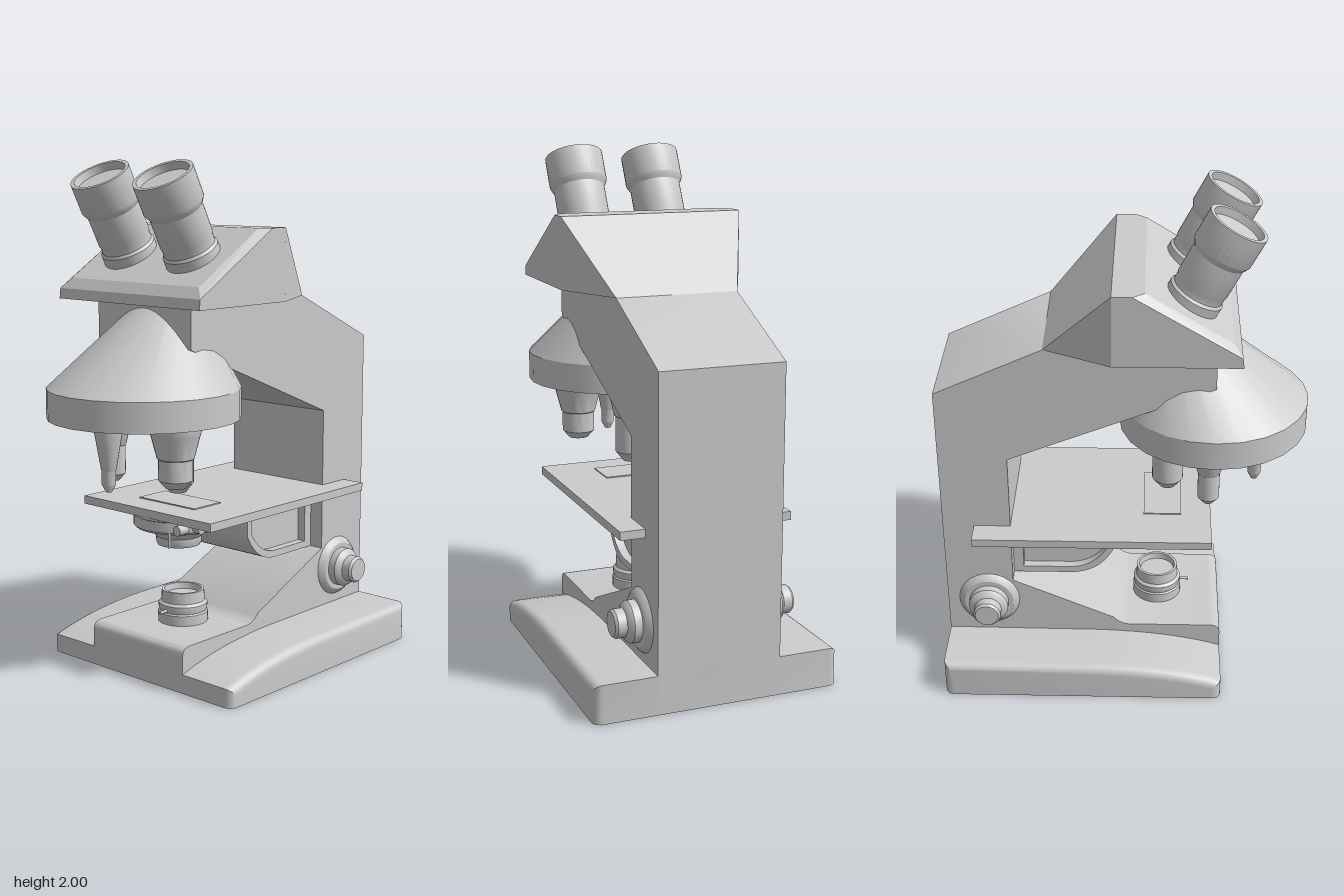
import * as THREE from 'three';
import { toCreasedNormals } from 'three/addons/utils/BufferGeometryUtils.js';
import { ConvexGeometry } from 'three/addons/geometries/ConvexGeometry.js';

const material = new THREE.MeshStandardMaterial({ color: 0xcccccc });
const openMaterial = new THREE.MeshStandardMaterial({ color: 0xcccccc, side: THREE.DoubleSide });

function add(parent, name, geometry, x = 0, y = 0, z = 0, mat = material) {
  const mesh = new THREE.Mesh(geometry, mat);
  mesh.name = name;
  mesh.position.set(x, y, z);
  parent.add(mesh);
  return mesh;
}

// Extrude a (z, y) side profile across x, centred on x = 0
function sideExtrude(shape, width, bevel = 0) {
  const g = new THREE.ExtrudeGeometry(shape, {
    depth: width - 2 * bevel, curveSegments: 12, bevelEnabled: bevel > 0,
    bevelSize: bevel, bevelThickness: bevel, bevelOffset: -bevel, bevelSegments: 5,
  });
  g.translate(0, 0, bevel - width / 2).rotateY(-Math.PI / 2);
  return g;
}

// Turned part from [radius, height] pairs, listed from bottom to top
function turned(points, segments = 32) {
  const g = new THREE.LatheGeometry(points.map(([r, y]) => new THREE.Vector2(r, y)), segments);
  return toCreasedNormals(g, 0.5);
}

function rod(radius, length, axis) {
  const g = new THREE.CylinderGeometry(radius, radius, length, 16);
  if (axis === 'x') g.rotateZ(Math.PI / 2);
  if (axis === 'z') g.rotateX(Math.PI / 2);
  return g;
}

function buildBase(root) {
  // Foot with rounded rim, sloping down to the front
  const foot = new THREE.Shape();
  foot.moveTo(-0.72, -0.1);
  foot.lineTo(0.4, -0.1);
  foot.lineTo(0.4, 0.075);
  foot.quadraticCurveTo(0.2, 0.14, -0.1, 0.148);
  foot.lineTo(-0.72, 0.152);
  const g = sideExtrude(foot, 0.98, 0.035);
  const p = g.attributes.position;
  for (let i = 0; i < p.count; i++) p.setY(i, Math.max(0, p.getY(i)));
  add(root, 'foot', toCreasedNormals(g, 0.5));

  // Raised centre strip, column and sloping arm in one profile
  const s = new THREE.Shape();
  s.moveTo(-0.72, 0);
  s.lineTo(0.4, 0);
  s.lineTo(0.4, 0.14);
  s.quadraticCurveTo(0.4, 0.18, 0.36, 0.18);
  s.lineTo(0.02, 0.18);
  s.quadraticCurveTo(-0.015, 0.185, -0.04, 0.215);
  s.lineTo(-0.45, 0.4);
  s.lineTo(-0.45, 0.985);
  s.lineTo(0.35, 1.31);
  s.lineTo(0.35, 1.47);
  s.lineTo(-0.3, 1.47);
  s.lineTo(-0.72, 1.275);
  add(root, 'columnAndArm', toCreasedNormals(sideExtrude(s, 0.49), 0.5));

  // Lamp cup on the foot
  add(root, 'lamp', turned([[0.1, 0], [0.1, 0.04], [0.094, 0.045], [0.098, 0.06], [0.098, 0.075],
    [0.087, 0.085], [0.085, 0.13], [0.074, 0.13], [0.07, 0.105], [0, 0.105]]), 0, 0.18, 0.137, openMaterial);
  add(root, 'lampLever', rod(0.006, 0.05, 'z'), 0, 0.235, 0.245);

  // Focus knobs on both sides
  for (const side of [-1, 1]) {
    const knob = add(root, side > 0 ? 'leftFocusKnob' : 'rightFocusKnob',
      turned([[0.125, 0], [0.115, 0.015], [0.1, 0.025], [0.08, 0.025], [0.08, 0.055],
        [0.073, 0.065], [0.055, 0.075], [0.055, 0.11], [0.047, 0.12], [0, 0.12]]),
      side * 0.243, 0.307, -0.55);
    knob.rotation.z = -side * Math.PI / 2;
  }
}

function buildHead(root) {
  // Wedge head with bevelled sloping front and tapered back
  const points = [];
  for (const x of [-1, 1]) {
    for (const [w, y, z] of [[0.245, 1.47, -0.3], [0.37, 1.47, -0.04], [0.37, 1.75, -0.04],
      [0.37, 1.75, 0.035], [0.335, 1.75, 0.08], [0.335, 1.55, 0.405], [0.37, 1.51, 0.435], [0.37, 1.47, 0.44]]) {
      points.push(new THREE.Vector3(x * w, y, z));
    }
  }
  add(root, 'head', new ConvexGeometry(points));

  // Pair of tilted eyepieces with recessed lenses
  const profile = [[0.108, -0.06], [0.108, 0.025], [0.1, 0.035], [0.1, 0.06], [0.103, 0.07], [0.103, 0.19],
    [0.109, 0.2], [0.117, 0.215], [0.117, 0.335], [0.102, 0.335], [0.098, 0.305], [0, 0.305]];
  for (const side of [-1, 1]) {
    const eyepiece = add(root, side > 0 ? 'leftEyepiece' : 'rightEyepiece', turned(profile),
      side * 0.165, 1.65, 0.256, openMaterial);
    eyepiece.rotation.x = 0.485;
  }
}

function buildNosepiece(root) {
  // Rim and a cone leaning back into the arm
  add(root, 'nosepieceRim', new THREE.CylinderGeometry(0.372, 0.372, 0.115, 24), 0, 1.0925, 0.35);
  const cone = new THREE.CylinderGeometry(0.372 * 0.25, 0.372, 0.343, 24, 1).translate(0, 0.1715, 0);
  const shear = new THREE.Matrix4();
  shear.elements[6] = -0.193 / 0.457;
  cone.applyMatrix4(shear);
  cone.deleteAttribute('normal');
  add(root, 'nosepieceCone', toCreasedNormals(cone, 0.6), 0, 1.15, 0.35);

  // Four objectives: x, z, top radius, barrel radius, tip radius, barrel top, barrel end, tip
  const objectives = [
    ['frontObjective', -0.015, 0.525, 0.056, 0.027, 0.012, 0.85, 0.797, 0.768],
    ['leftObjective', 0.175, 0.36, 0.102, 0.066, 0.04, 0.895, 0.815, 0.785],
    ['rightObjective', -0.18, 0.335, 0.07, 0.043, 0.018, 0.9, 0.787, 0.758],
    ['backObjective', 0.01, 0.175, 0.095, 0.063, 0.033, 0.9, 0.752, 0.713],
  ];
  for (const [name, x, z, r, barrel, tip, top, end, low] of objectives) {
    add(root, name, turned([[0, low], [tip, low], [barrel, end], [barrel, top],
      [barrel * 1.08, top + 0.004], [r * 0.92, 0.985], [r, 1.01], [r, 1.04]], 24), x, 0, z);
  }
}

function buildStage(root) {
  add(root, 'stage', new THREE.BoxGeometry(0.685, 0.033, 0.945), 0, 0.655, -0.123);
  add(root, 'slide', new THREE.BoxGeometry(0.3, 0.006, 0.15), 0, 0.673, 0.155);

  // Bracket with curved underside and recessed side panels
  const outline = (path, e) => {
    path.moveTo(-0.46 + e * 1.8, 0.4 + e);
    path.lineTo(-0.22, 0.4 + e);
    path.quadraticCurveTo(-0.1 - e, 0.4 + e, -0.042 - e, 0.52);
    path.lineTo(-0.042 - e, 0.64 - e * 1.2);
    path.lineTo(-0.46 + e * 1.8, 0.64 - e * 1.2);
    path.closePath();
    return path;
  };
  add(root, 'bracketCore', toCreasedNormals(sideExtrude(outline(new THREE.Shape(), 0), 0.3), 0.5));
  const rim = outline(new THREE.Shape(), 0);
  rim.holes.push(outline(new THREE.Path(), 0.028));
  for (const side of [-1, 1]) {
    add(root, 'bracketRim', toCreasedNormals(sideExtrude(rim, 0.036), 0.5), side * 0.167);
  }

  // Condenser under the stage with its screws and levers
  const c = new THREE.Group();
  c.name = 'condenser';
  c.position.set(0, 0, 0.16);
  root.add(c);
  add(c, 'condenserBody', turned([[0, 0.5], [0.085, 0.5], [0.09, 0.51], [0.09, 0.535], [0.115, 0.56], [0.115, 0.575],
    [0.17, 0.575], [0.18, 0.585], [0.18, 0.625], [0.187, 0.628], [0.187, 0.64]]));
  for (let i = 0; i < 4; i++) add(c, 'condenserScrew', rod(0.02, 0.06, 'x'), 0.16, 0.602, 0.07 - i * 0.052);
  add(c, 'sideLever', rod(0.006, 0.12, 'x'), -0.225, 0.615, 0.02);
  add(c, 'frontKnob', rod(0.02, 0.05, 'z'), 0.14, 0.602, 0.135);
  add(c, 'frontLever', rod(0.006, 0.07, 'y'), 0.09, 0.56, 0.148);
}

export function createModel() {
  const root = new THREE.Group();
  root.name = 'microscope';
  buildBase(root);
  buildHead(root);
  buildNosepiece(root);
  buildStage(root);
  return root;
}
